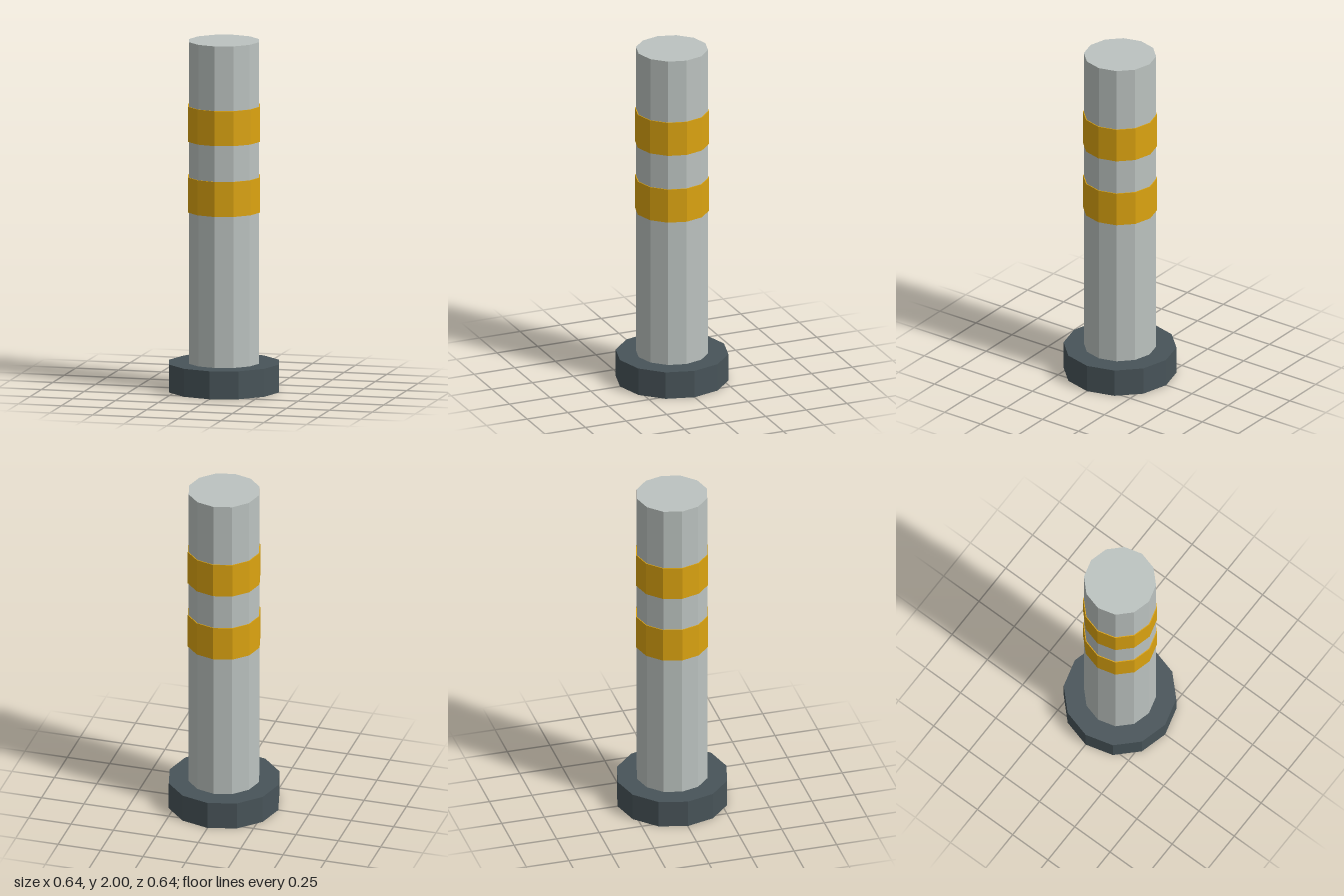
import * as THREE from 'three';

const SIDES = 12;

function material(name, color) {
  const m = new THREE.MeshStandardMaterial({ color, flatShading: true });
  m.name = name;
  return m;
}

// Twelve-sided drum between two heights
function drum(name, radius, bottom, top, mat) {
  const geometry = new THREE.CylinderGeometry(radius, radius, top - bottom, SIDES);
  const mesh = new THREE.Mesh(geometry, mat);
  mesh.name = name;
  mesh.position.y = (bottom + top) / 2;
  return mesh;
}

export function createModel() {
  const darkGrey = material('dark grey', 0x485459);
  const lightGrey = material('light grey', 0xbcc3c0);
  const amber = material('amber', 0xdca411);

  const bollard = new THREE.Group();
  bollard.name = 'bollard';

  // Foot and post
  bollard.add(drum('base', 0.32, 0, 0.16, darkGrey));
  bollard.add(drum('post', 0.205, 0.16, 2, lightGrey));

  // Two raised warning bands
  [['lowerBand', 1.025], ['upperBand', 1.43]].forEach(([name, y]) => {
    bollard.add(drum(name, 0.21, y, y + 0.2, amber));
  });

  return bollard;
}
